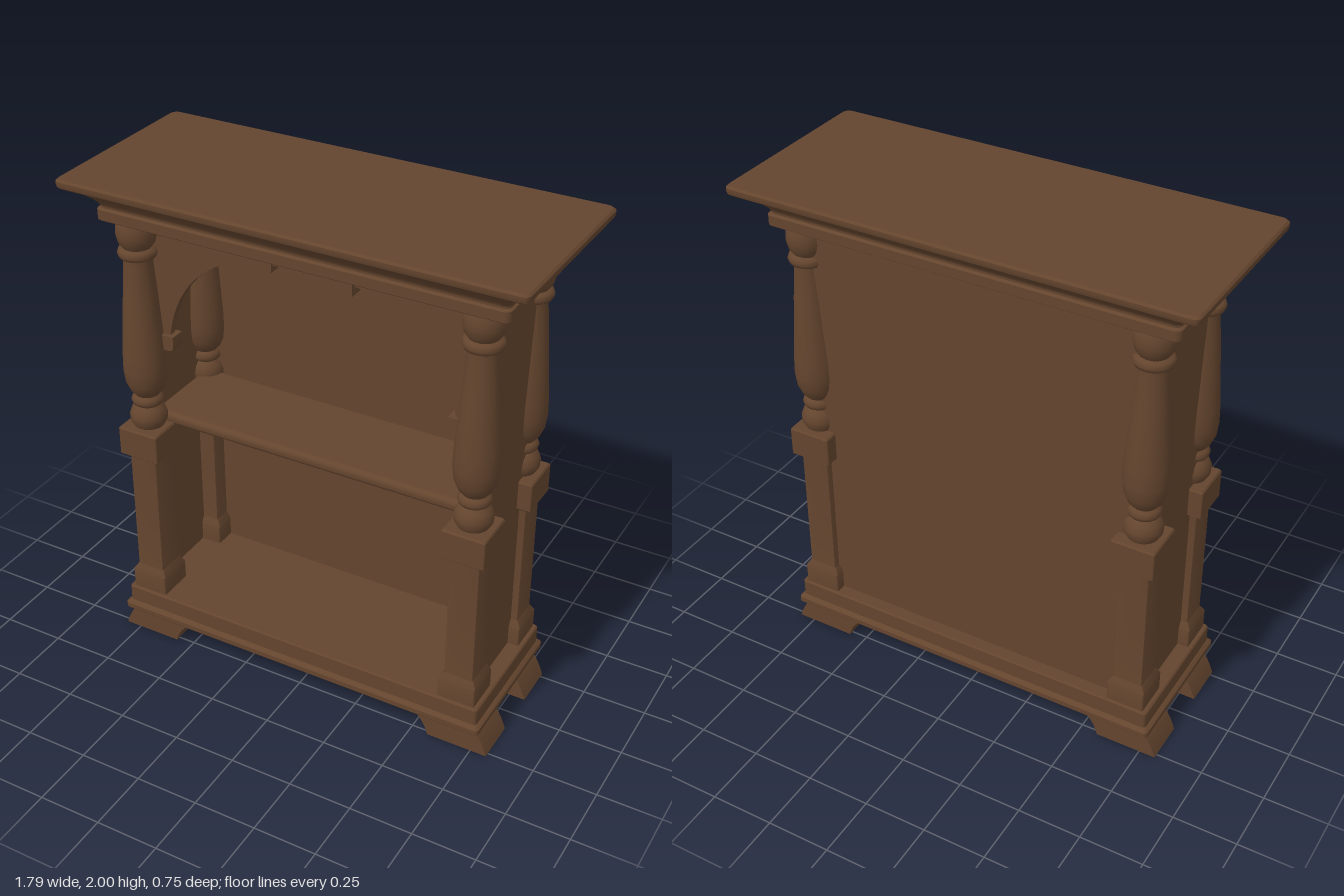
import * as THREE from 'three';
import { toCreasedNormals } from 'three/addons/utils/BufferGeometryUtils.js';
import { RoundedBoxGeometry } from 'three/addons/geometries/RoundedBoxGeometry.js';

// Outline of a rounded rectangle in x and z, counter-clockwise seen from above
function ring(hx, hz, y, r) {
  const points = [];
  const corners = [[1, 1], [1, -1], [-1, -1], [-1, 1]];
  corners.forEach(([sx, sz], c) => {
    for (let i = 0; i <= 4; i++) {
      const a = Math.PI / 2 - (c + i / 4) * Math.PI / 2;
      const t = a;
      points.push([sx * (hx - r) + r * Math.cos(t), y, sz * (hz - r) + r * Math.sin(t)]);
    }
  });
  // start from the +z side of the +x corner and run towards -z
  return points;
}

// Moulding: rounded rectangles [halfX, halfZ, y] joined from bottom to top, with caps
function moulding(sections, r) {
  const rings = sections.map(([hx, hz, y]) => ring(hx, hz, y, r));
  const n = rings[0].length;
  const pos = [];
  const tri = (a, b, c) => pos.push(...a, ...b, ...c);
  for (let k = 0; k < rings.length - 1; k++) {
    for (let i = 0; i < n; i++) {
      const j = (i + 1) % n;
      const [a, b, c, d] = [rings[k][i], rings[k][j], rings[k + 1][j], rings[k + 1][i]];
      tri(a, b, c);
      tri(a, c, d);
    }
  }
  const low = rings[0], high = rings[rings.length - 1];
  for (let i = 1; i < n - 1; i++) {
    tri(low[0], low[i + 1], low[i]);
    tri(high[0], high[i], high[i + 1]);
  }
  const g = new THREE.BufferGeometry();
  g.setAttribute('position', new THREE.Float32BufferAttribute(pos, 3));
  return toCreasedNormals(g, 0.6);
}

export function createModel() {
  const model = new THREE.Group();
  model.name = 'bookcase';
  const wood = new THREE.MeshStandardMaterial({ color: 0x64452e });
  wood.name = 'brown wood';

  const add = (name, geometry, x = 0, y = 0, z = 0, parent = model) => {
    const mesh = new THREE.Mesh(geometry, wood);
    mesh.name = name;
    mesh.position.set(x, y, z);
    parent.add(mesh);
    return mesh;
  };
  const extrude = (shape, depth, bevel = 0) => toCreasedNormals(new THREE.ExtrudeGeometry(shape, {
    depth, bevelEnabled: bevel > 0, bevelSize: bevel, bevelThickness: bevel, bevelSegments: 2, curveSegments: 16,
  }), 0.6);

  // Cornice and plinth
  add('cornice', moulding([
    [0.792, 0.272, 1.828], [0.798, 0.28, 1.834], [0.798, 0.28, 1.872], [0.79, 0.27, 1.878],
    [0.79, 0.27, 1.886], [0.797, 0.279, 1.9], [0.811, 0.293, 1.916], [0.832, 0.314, 1.934],
    [0.86, 0.342, 1.952], [0.886, 0.366, 1.964], [0.893, 0.373, 1.97], [0.895, 0.375, 1.978],
    [0.895, 0.375, 1.992], [0.887, 0.367, 2],
  ], 0.025));
  add('plinth', moulding([
    [0.785, 0.297, 0.11], [0.79, 0.302, 0.116], [0.79, 0.302, 0.136], [0.785, 0.297, 0.142],
    [0.775, 0.287, 0.15], [0.775, 0.287, 0.215], [0.77, 0.282, 0.221],
  ], 0.015));

  // Panels and shelf
  add('backPanel', new THREE.BoxGeometry(1.4, 1.62, 0.02), 0, 1.025, -0.225);
  for (const s of [-1, 1]) {
    add('sidePanel', new THREE.BoxGeometry(0.022, 1.62, 0.42), s * 0.702, 1.025, -0.005);
  }
  add('shelf', new RoundedBoxGeometry(1.38, 0.05, 0.375, 4, 0.022), 0, 0.99, -0.0275);

  // Corner posts: square lower part and turned upper part
  const post = moulding([
    [0.075, 0.075, 0.22], [0.075, 0.075, 0.3], [0.058, 0.06, 0.328], [0.058, 0.06, 0.84],
    [0.085, 0.086, 0.862], [0.085, 0.086, 0.972], [0.08, 0.081, 0.979],
  ], 0.006);
  const profile = [
    [0, 0.975], [0.056, 0.975], [0.07, 1.0], [0.072, 1.025], [0.062, 1.052], [0.046, 1.068],
    [0.056, 1.075], [0.062, 1.09], [0.056, 1.105], [0.046, 1.113],
    [0.062, 1.132], [0.078, 1.17], [0.084, 1.22], [0.082, 1.29], [0.074, 1.4], [0.064, 1.54],
    [0.054, 1.66], [0.054, 1.68], [0.068, 1.687], [0.074, 1.702], [0.068, 1.718], [0.054, 1.724],
    [0.068, 1.745], [0.075, 1.775], [0.073, 1.81], [0.064, 1.835], [0, 1.835],
  ].map(([r, y]) => new THREE.Vector2(r, y));
  const column = toCreasedNormals(new THREE.LatheGeometry(profile, 32), 0.9);
  for (const x of [-0.682, 0.682]) {
    for (const z of [-0.203, 0.2]) {
      add('post', post, x, 0, z);
      add('turnedColumn', column, x, 0, z);
    }
  }

  // Bracket feet, flared outwards
  const footShape = new THREE.Shape();
  footShape.moveTo(0.57, 0);
  footShape.lineTo(0.815, 0);
  footShape.quadraticCurveTo(0.79, 0.075, 0.75, 0.115);
  footShape.lineTo(0.48, 0.115);
  footShape.quadraticCurveTo(0.555, 0.07, 0.57, 0);
  const foot = extrude(footShape, 0.175);
  for (const z of [0.0925, -0.2675]) {
    add('rightFoot', foot, 0, 0, z).rotation.y = 0;
    add('leftFoot', foot, 0, 0, z + 0.175).rotation.y = Math.PI;
  }

  // Arched front board, outlined once and cut below by the arch
  const arch = new THREE.Shape();
  arch.moveTo(-0.69, 1.84);
  arch.lineTo(-0.69, 1.34);
  arch.lineTo(-0.585, 1.34);
  arch.bezierCurveTo(-0.565, 1.56, -0.42, 1.74, -0.16, 1.768);
  arch.lineTo(0.16, 1.768);
  arch.bezierCurveTo(0.42, 1.74, 0.565, 1.56, 0.585, 1.34);
  arch.lineTo(0.69, 1.34);
  arch.lineTo(0.69, 1.84);
  add('archBoard', extrude(arch, 0.03), 0, 0, 0.14);
  add('archCentreRail', new THREE.BoxGeometry(0.26, 0.045, 0.012), 0, 1.793, 0.174);

  // Small corbels with a rounded lower corner, at the arch crown and springing
  const corbel = (w, h) => {
    const s = new THREE.Shape();
    s.moveTo(0, 0);
    s.lineTo(w - 0.025, 0);
    s.quadraticCurveTo(w, 0, w, 0.025);
    s.lineTo(w, h);
    s.lineTo(0, h);
    return extrude(s, 0.06);
  };
  const crown = corbel(0.057, 0.1), spring = corbel(0.065, 0.06);
  for (const s of [-1, 1]) {
    const side = new THREE.Group();
    side.name = s < 0 ? 'rightCorbels' : 'leftCorbels';
    if (s > 0) side.rotation.y = Math.PI;
    side.position.z = s > 0 ? 0.315 : 0;
    add('crownCorbel', crown, -0.187, 1.732, 0.1275, side);
    add('springCorbel', spring, -0.625, 1.312, 0.1275, side);
    model.add(side);
  }
  return model;
}
